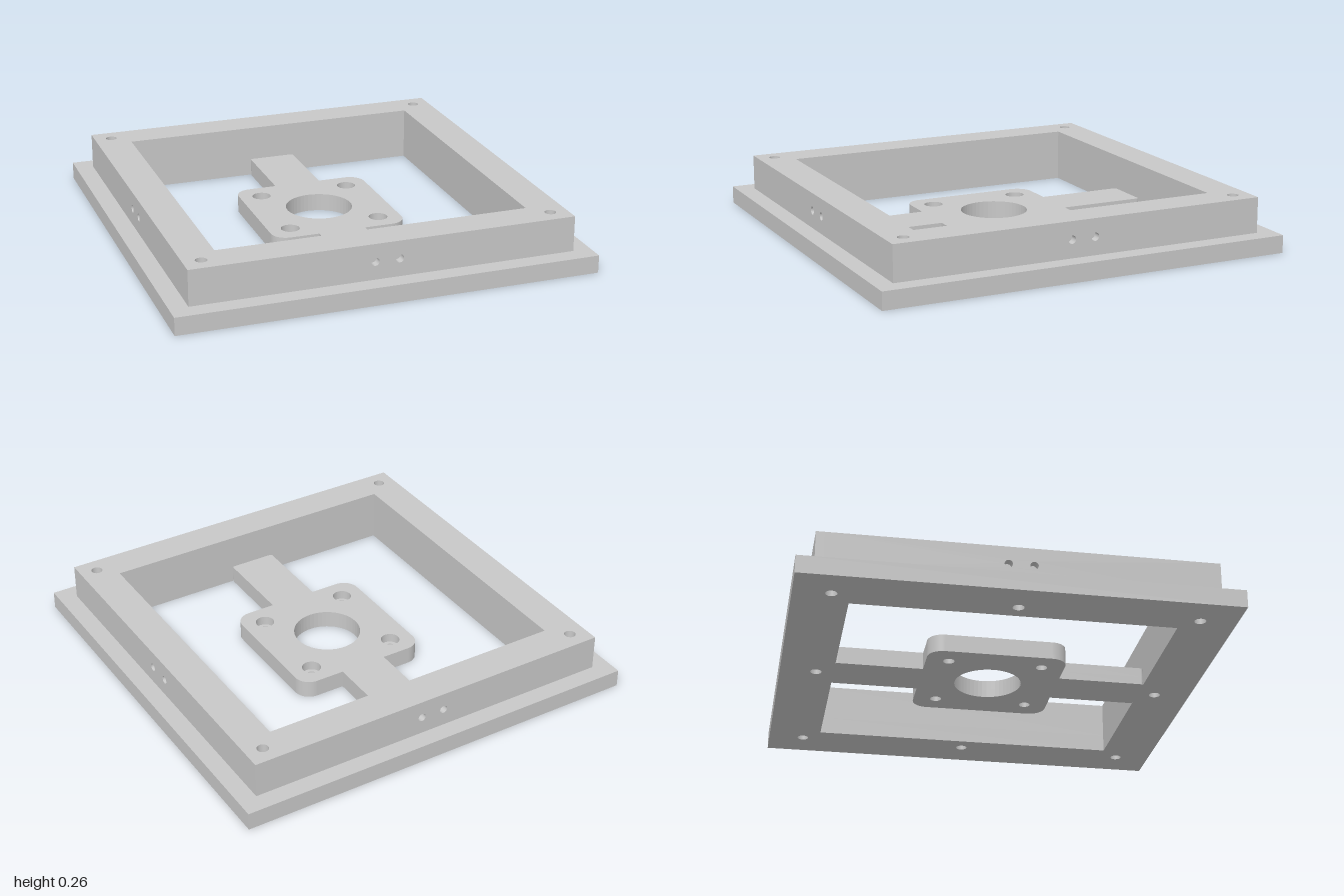
import * as THREE from 'three';

const grey = new THREE.MeshStandardMaterial({ color: 0xc8c8c8 });
grey.name = 'grey';

const FLANGE = 0.085, TOP = 0.256, OPEN = 0.745, BODY = 0.913, SKIN = 0.04;
const BOLT = 0.829, PLATE_BOLT = 0.222;

const circle = (x, y, r) => new THREE.Path().absarc(x, y, r, 0, Math.PI * 2, true);
const corners = (d) => [[d, d], [-d, d], [-d, -d], [d, -d]];

function rect(w, h, Type = THREE.Shape) {
  return new Type([[-w, -h], [w, -h], [w, h], [-w, h]].map(([x, y]) => new THREE.Vector2(x, y)));
}

// Extrudes a plan outline upwards from y0 to y1
function slab(name, shape, y0, y1) {
  const g = new THREE.ExtrudeGeometry(shape, { depth: y1 - y0, bevelEnabled: false, curveSegments: 24 });
  g.rotateX(-Math.PI / 2).translate(0, y0, 0);
  const mesh = new THREE.Mesh(g, grey);
  mesh.name = name;
  return mesh;
}

// Square ring with bolt holes in its corners
function ring(outer, extraHoles = []) {
  const s = rect(outer, outer);
  s.holes.push(rect(OPEN, OPEN, THREE.Path));
  for (const [x, y] of [...corners(BOLT), ...extraHoles]) s.holes.push(circle(x, y, 0.027));
  return s;
}

// Rounded square plate with two arms, its centre bore and four bolt holes
function mountShape(boltRadius) {
  const a = 0.115, p = 0.33, r = 0.075, e = 0.012, s = new THREE.Shape();
  s.moveTo(-a + e, -OPEN);
  s.lineTo(a - e, -OPEN);
  s.quadraticCurveTo(a, -OPEN, a, -OPEN + e);
  s.lineTo(a, -p);
  s.lineTo(p - r, -p);
  s.absarc(p - r, -p + r, r, -Math.PI / 2, 0, false);
  s.absarc(p - r, p - r, r, 0, Math.PI / 2, false);
  s.lineTo(a, p);
  s.lineTo(a, OPEN - e);
  s.quadraticCurveTo(a, OPEN, a - e, OPEN);
  s.lineTo(-a + e, OPEN);
  s.quadraticCurveTo(-a, OPEN, -a, OPEN - e);
  s.lineTo(-a, p);
  s.lineTo(-p + r, p);
  s.absarc(-p + r, p - r, r, Math.PI / 2, Math.PI, false);
  s.absarc(-p + r, -p + r, r, Math.PI, Math.PI * 1.5, false);
  s.lineTo(-a, -p);
  s.lineTo(-a, -OPEN + e);
  s.quadraticCurveTo(-a, -OPEN, -a + e, -OPEN);
  s.holes.push(circle(0, 0, 0.161));
  for (const [x, y] of corners(PLATE_BOLT)) s.holes.push(circle(x, y, boltRadius));
  return s;
}

// Outer skin of one wall, with a pair of blind holes
function wallPanel(name, halfWidth, angle) {
  const h = (TOP - FLANGE) / 2, s = rect(halfWidth, h);
  for (const x of [-0.058, 0.058]) s.holes.push(circle(x, 0, 0.019));
  const g = new THREE.ExtrudeGeometry(s, { depth: SKIN, bevelEnabled: false, curveSegments: 16 });
  g.translate(0, FLANGE + h, BODY - SKIN).rotateY(angle);
  const mesh = new THREE.Mesh(g, grey);
  mesh.name = name;
  return mesh;
}

export function createModel() {
  const model = new THREE.Group();
  model.name = 'mountingFrame';

  // Base flange, with a blind hole under the middle of each side
  const middles = [[BOLT, 0], [-BOLT, 0], [0, BOLT], [0, -BOLT]];
  model.add(slab('baseFlange', ring(1, middles), 0, FLANGE));

  // Raised frame and its four outer walls
  model.add(slab('raisedFrame', ring(BODY - SKIN), FLANGE, TOP));
  ['frontWall', 'leftWall', 'backWall', 'rightWall'].forEach((name, i) =>
    model.add(wallPanel(name, i % 2 ? BODY - SKIN : BODY, i * Math.PI / 2)));

  // Central mount: narrow bolt holes below, wide counterbores above
  model.add(slab('mountLower', mountShape(0.027), 0, 0.04));
  model.add(slab('mountUpper', mountShape(0.045), 0.04, FLANGE));

  return model;
}
